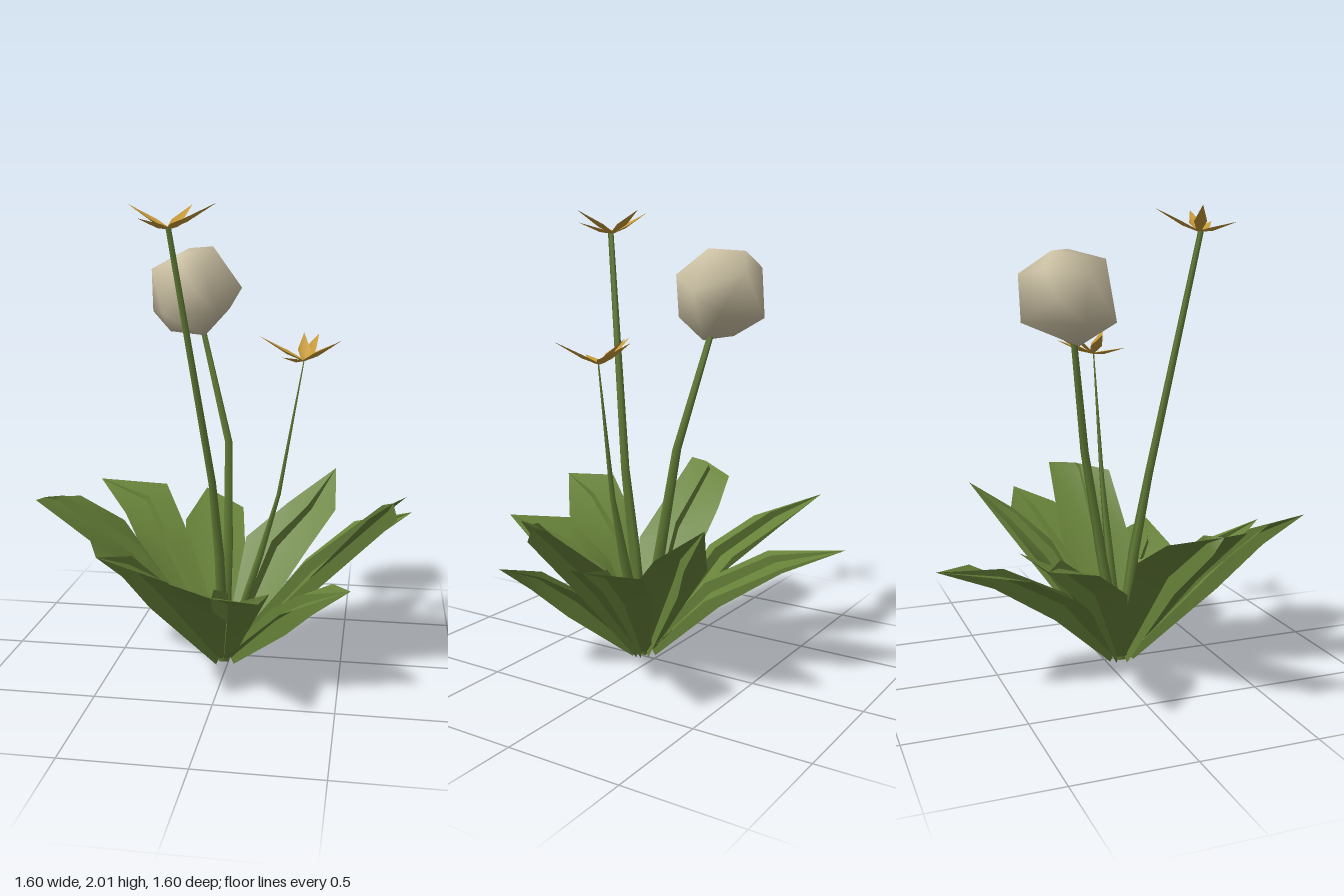
import * as THREE from 'three';
import { mergeVertices } from 'three/addons/utils/BufferGeometryUtils.js';
import { ConvexGeometry } from 'three/addons/geometries/ConvexGeometry.js';

const mat = (name, color) => {
  const m = new THREE.MeshStandardMaterial({ color, side: THREE.DoubleSide });
  m.name = name;
  return m;
};

// Builds a smooth sheet from rows of [left, middle, right] points, closed to one tip point
function sheet(rows, tip) {
  const pos = [], idx = [];
  rows.forEach(row => row.forEach(p => pos.push(p.x, p.y, p.z)));
  pos.push(tip.x, tip.y, tip.z);
  for (let r = 0; r < rows.length - 1; r++) {
    for (let c = 0; c < 2; c++) {
      const a = r * 3 + c, d = a + 3;
      idx.push(a, d, a + 1, a + 1, d, d + 1);
    }
  }
  const last = (rows.length - 1) * 3, t = rows.length * 3;
  idx.push(last, t, last + 1, last + 1, t, last + 2);
  const g = new THREE.BufferGeometry();
  g.setAttribute('position', new THREE.Float32BufferAttribute(pos, 3));
  g.setIndex(idx);
  g.computeVertexNormals();
  return g;
}

// Four-sided tapering stalk along a few points
function stalk(points, r0, r1) {
  const pos = [], idx = [], sides = 4;
  points.forEach((p, i) => {
    const r = THREE.MathUtils.lerp(r0, r1, i / (points.length - 1));
    for (let k = 0; k < sides; k++) {
      const a = (k / sides) * Math.PI * 2 + Math.PI / 4;
      pos.push(p[0] + Math.sin(a) * r, p[1], p[2] + Math.cos(a) * r);
      if (i === 0) continue;
      const n = (k + 1) % sides, lo = (i - 1) * sides, hi = i * sides;
      idx.push(lo + k, lo + n, hi + n, lo + k, hi + n, hi + k);
    }
  });
  const g = new THREE.BufferGeometry();
  g.setAttribute('position', new THREE.Float32BufferAttribute(pos, 3));
  g.setIndex(idx);
  g.computeVertexNormals();
  return g;
}

export function createModel() {
  const model = new THREE.Group();
  model.name = 'floweringPlant';
  const leafGreen = mat('leafGreen', 0x68833a);
  const stemGreen = mat('stemGreen', 0x627d36);
  const gold = mat('petalGold', 0xc79a38);
  const cream = mat('seedHeadCream', 0xcdc2a5);
  const V = p => new THREE.Vector3(...p);
  const add = (name, geo, material, parent = model) => {
    const m = new THREE.Mesh(geo, material);
    m.name = name;
    parent.add(m);
  };

  // Leaves: tip, then left and right edge points (inner, outer)
  const root = new THREE.Vector3(-0.02, 0.035, 0.07);
  const leaves = {
    backLeaf: [[-0.25, 0.57, -0.8], [-0.24, 0.36, -0.18], [-0.29, 0.5, -0.42], [0.03, 0.33, -0.28], [-0.03, 0.52, -0.62]],
    backRightSideLeaf: [[-0.73, 0.68, -0.48], [-0.41, 0.44, -0.05], [-0.54, 0.58, -0.22], [-0.24, 0.46, -0.27], [-0.4, 0.66, -0.5]],
    rightSideLeaf: [[-0.79, 0.76, 0.19], [-0.33, 0.44, 0.3], [-0.8, 0.77, 0.28], [-0.5, 0.6, -0.045], [-0.69, 0.72, 0]],
    frontRightSideLeaf: [[-0.39, 0.7, 0.78], [-0.1, 0.36, 0.36], [-0.16, 0.55, 0.6], [-0.4, 0.54, 0.4], [-0.48, 0.7, 0.56]],
    frontLeaf: [[0.05, 0.57, 0.8], [0.2, 0.38, 0.22], [0.18, 0.42, 0.45], [-0.14, 0.36, 0.34], [-0.16, 0.54, 0.59]],
    frontLeftSideLeaf: [[0.55, 0.49, 0.43], [0.3, 0.34, 0.14], [0.47, 0.46, 0.27], [0.18, 0.28, 0.37], [0.27, 0.39, 0.47]],
    leftSideLeaf: [[0.71, 0.77, 0.1], [0.38, 0.48, -0.08], [0.77, 0.77, -0.02], [0.36, 0.46, 0.26], [0.61, 0.74, 0.25]],
    backLeftSideLeaf: [[0.8, 0.65, -0.2], [0.32, 0.4, -0.2], [0.54, 0.57, -0.29], [0.33, 0.37, 0.08], [0.65, 0.59, -0.03]],
    tallBackLeaf: [[0.44, 0.77, -0.51], [0.03, 0.47, -0.29], [0.22, 0.62, -0.39], [0.34, 0.48, -0.14], [0.45, 0.62, -0.29]],
  };
  for (const [name, pts] of Object.entries(leaves)) {
    const [tip, l1, l2, r1, r2] = pts.map(V);
    const row = (l, r, sink) => {
      const mid = l.clone().add(r).multiplyScalar(0.5);
      mid.y -= sink;
      return [l, mid, r];
    };
    const out = tip.clone().sub(root).setY(0).normalize();
    const side = new THREE.Vector3(out.z, 0, -out.x).multiplyScalar(0.045);
    if (side.dot(l1.clone().sub(r1)) < 0) side.negate();
    const base = root.clone().addScaledVector(out, 0.04);
    const rows = [row(base.clone().add(side), base.clone().sub(side), 0.015), row(l1, r1, 0.025), row(l2, r2, 0.015)];
    const leaf = new THREE.Group();
    leaf.name = name;
    add('blade', sheet(rows, tip), leafGreen, leaf);

    // Upright blade crossing the leaf along its midrib
    const along = tip.clone().sub(root).normalize();
    const up = new THREE.Vector3(0, 1, 0).addScaledVector(along, -along.y).normalize();
    const heights = [[0.035, -0.03], [0.05, -0.075], [0.035, -0.055]];
    const crossRows = rows.map(([, mid], i) => [
      mid.clone().addScaledVector(up, heights[i][0]), mid, mid.clone().addScaledVector(up, heights[i][1]),
    ]);
    add('midribBlade', sheet(crossRows, tip), leafGreen, leaf);
    model.add(leaf);
  }

  // Stems
  add('tallFlowerStem', stalk([[-0.02, 0, 0.07], [-0.03, 0.5, 0.13], [-0.05, 0.85, 0.19], [-0.19, 1.91, 0.36]], 0.032, 0.013), stemGreen);
  add('seedHeadStem', stalk([[-0.02, 0.01, 0.07], [-0.015, 0.5, -0.02], [-0.025, 0.97, -0.1], [-0.17, 1.52, -0.2]], 0.032, 0.014), stemGreen);
  add('shortFlowerStem', stalk([[-0.01, 0.02, 0.07], [0.14, 0.5, 0.07], [0.22, 0.78, 0.07], [0.32, 1.36, 0.065]], 0.03, 0.003), stemGreen);

  // Irregular seed head, a coarse hull with smooth normals
  const corners = [
    [-0.24, 1.82, -0.31], [-0.11, 1.83, -0.2], [-0.25, 1.79, -0.085], [-0.39, 1.73, -0.2],
    [-0.3, 1.75, -0.36], [-0.075, 1.73, -0.4], [0.02, 1.65, -0.2], [-0.12, 1.72, -0.035],
    [-0.16, 1.64, -0.03], [-0.365, 1.64, -0.33], [-0.39, 1.54, -0.22], [-0.2, 1.54, -0.425],
    [-0.31, 1.54, -0.06], [-0.07, 1.54, -0.08], [-0.14, 1.44, -0.16], [-0.31, 1.45, -0.22],
    [-0.05, 1.55, -0.29],
  ];
  const hull = new ConvexGeometry(corners.map(V));
  hull.deleteAttribute('normal');
  const headGeo = mergeVertices(hull);
  headGeo.computeVertexNormals();
  add('seedHead', headGeo, cream);

  // Star flowers with folded, pointed petals
  function flower(name, center, tips) {
    const group = new THREE.Group();
    group.name = name;
    const c = V(center);
    tips.map(V).forEach(tip => {
      const dir = tip.clone().sub(c);
      const side = new THREE.Vector3(dir.z, 0, -dir.x).normalize();
      const row = (t, w) => {
        const mid = c.clone().addScaledVector(dir, t);
        const l = mid.clone().addScaledVector(side, w), r = mid.clone().addScaledVector(side, -w);
        mid.y -= w * 0.5;
        return [l, mid, r];
      };
      add('petal', sheet([row(0, 0.01), row(0.38, 0.027)], tip), gold, group);
    });
    model.add(group);
  }
  flower('tallFlower', [-0.19, 1.905, 0.35],
    [[-0.37, 2, 0.28], [-0.13, 2, 0.17], [0.01, 2, 0.4], [-0.28, 1.94, 0.48], [-0.08, 1.95, 0.46]]);
  flower('shortFlower', [0.32, 1.365, 0.06],
    [[0.13, 1.46, 0.04], [0.31, 1.47, -0.06], [0.37, 1.46, -0.13], [0.44, 1.42, -0.08], [0.48, 1.46, 0.17], [0.24, 1.39, 0.19]]);

  return model;
}
